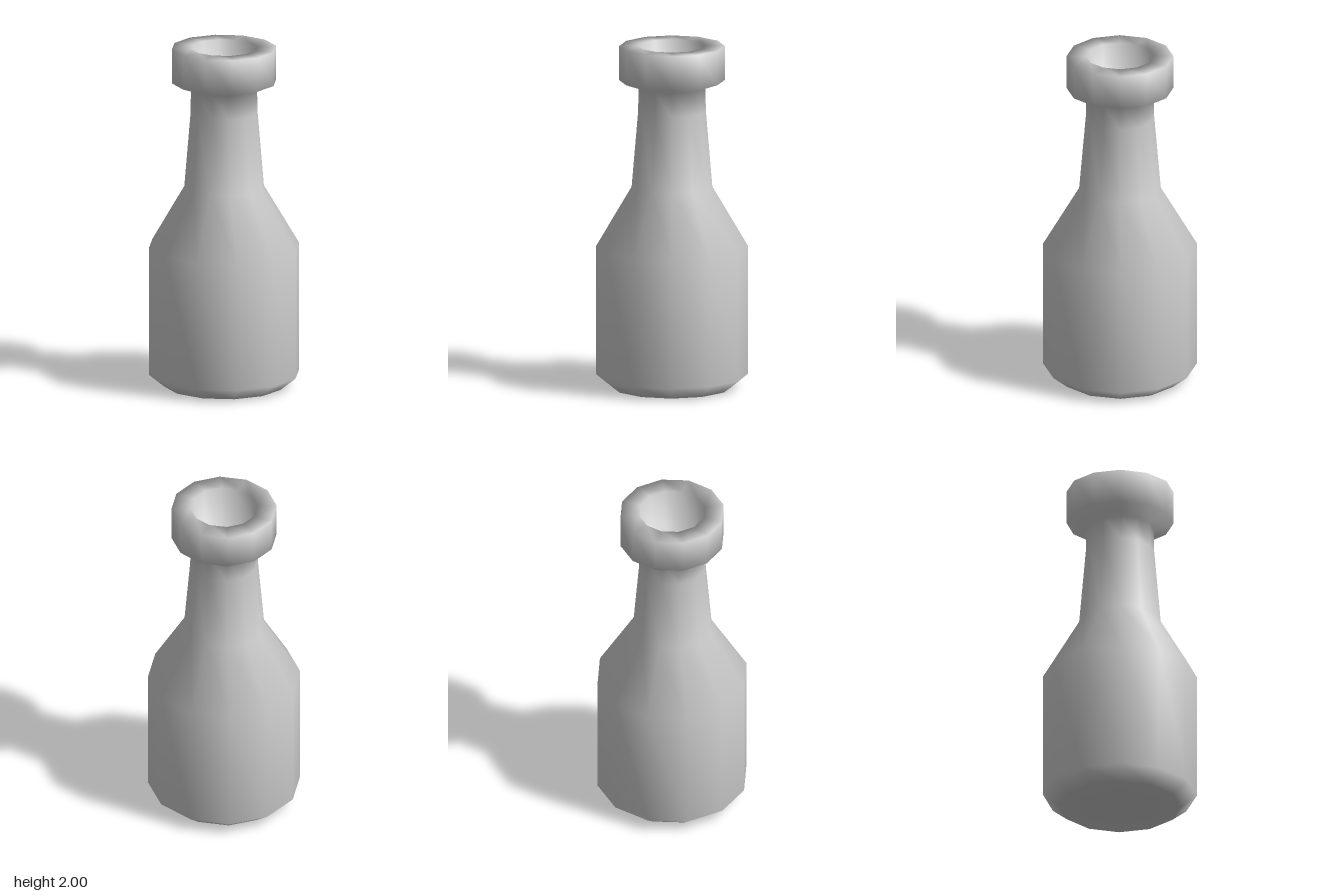
import * as THREE from 'three';

export function createModel() {
  const group = new THREE.Group();
  group.name = 'bottle';

  // Closed profile, from the centre of the base up the outside and down into the mouth
  const profile = [
    [0, 0], [0.35, 0], [0.443, 0.075],       // base and chamfer
    [0.443, 0.825],                          // body wall
    [0.235, 1.175],                          // shoulder
    [0.197, 1.62], [0.195, 1.76],            // neck
    [0.307, 1.8], [0.307, 2],                // collar
    [0.195, 2], [0.19, 1.75], [0, 1.75],     // mouth and its floor
  ].map(([r, y]) => new THREE.Vector2(r, y));

  // Twelve sides with smooth normals
  const geometry = new THREE.LatheGeometry(profile, 12);
  geometry.scale(0.985, 1, 1);

  const body = new THREE.Mesh(geometry, new THREE.MeshStandardMaterial({ color: 0xcccccc }));
  body.name = 'bottleBody';
  group.add(body);
  return group;
}
